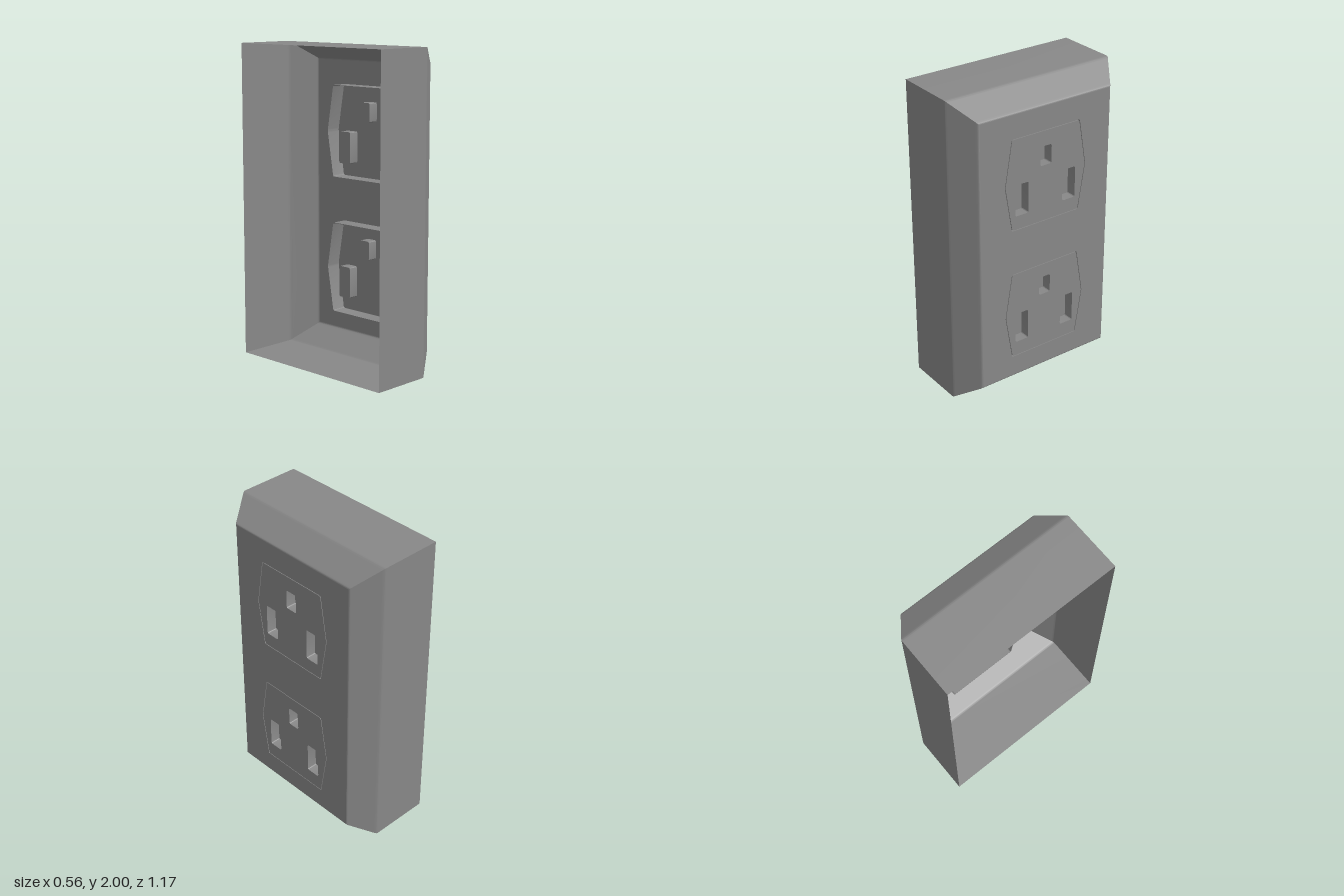
import * as THREE from 'three';
import { toCreasedNormals } from 'three/addons/utils/BufferGeometryUtils.js';

const material = new THREE.MeshStandardMaterial({ color: 0x888888, side: THREE.DoubleSide });
const FACE = 0.282; // x of the front surface
const SKIRT = FACE - 0.1; // rear end of the socket skirts
const FLOOR = FACE - 0.068; // bottom of the slots

// Polygon with every corner softened; returns a counter-clockwise point list.
function softPolygon(corners, r, steps = 3) {
  const pts = [];
  corners.forEach((c, i) => {
    const n = corners.length;
    const p = new THREE.Vector2(...c);
    const toward = (q) => p.clone().add(new THREE.Vector2(...q).sub(p).setLength(r));
    const a = toward(corners[(i + n - 1) % n]);
    const b = toward(corners[(i + 1) % n]);
    pts.push(...new THREE.QuadraticBezierCurve(a, p, b).getPoints(steps));
  });
  return pts;
}

const rectCorners = (u0, u1, v0, v1) => [[u0, v0], [u1, v0], [u1, v1], [u0, v1]];

// Six-sided socket outline, shrunk evenly by gap.
function socketOutline(cy, gap = 0) {
  const h = 0.296 - gap, w = 0.248 - gap, m = 0.297 - gap;
  return softPolygon([[-w, cy - h], [w, cy - h], [m, cy], [w, cy + h], [-w, cy + h], [-m, cy]], 0.012);
}

// Skin between outlines placed at successive x positions: [[x, points], ...]
function loft(rings) {
  const n = rings[0][1].length, pos = [], idx = [];
  for (const [x, pts] of rings) for (const p of pts) pos.push(x, p.y, -p.x);
  for (let k = 0; k < rings.length - 1; k++) {
    for (let i = 0; i < n; i++) {
      const a = k * n + i, b = k * n + (i + 1) % n;
      idx.push(a, b, b + n, a, b + n, a + n);
    }
  }
  const g = new THREE.BufferGeometry();
  g.setAttribute('position', new THREE.Float32BufferAttribute(pos, 3));
  g.setIndex(idx);
  return toCreasedNormals(g, 0.5);
}

// Flat panel facing +x, with holes.
function panel(x, outline, holes = []) {
  const shape = new THREE.Shape(outline);
  shape.holes = holes.map((h) => new THREE.Path(h));
  return new THREE.ShapeGeometry(shape).rotateY(Math.PI / 2).translate(x, 0, 0);
}

function add(parent, name, geometry) {
  const mesh = new THREE.Mesh(geometry, material);
  mesh.name = name;
  parent.add(mesh);
}

// Socket insert: face with three slots, rear skirt and blind pockets.
function createSocket(cy, pinY) {
  const socket = new THREE.Group();
  socket.name = 'socket';
  const slots = [
    rectCorners(-0.041, 0.041, pinY + 0.077, pinY + 0.2),
    rectCorners(-0.221, -0.126, pinY - 0.199, pinY + 0.004),
    rectCorners(0.126, 0.221, pinY - 0.199, pinY + 0.004),
  ].map((corners) => softPolygon(corners, 0.012));
  const opening = socketOutline(cy), inner = socketOutline(cy, 0.004);
  add(socket, 'socketFace', panel(FACE, inner, slots));
  // Narrow groove around the face, closed at the rear of the skirt
  add(socket, 'socketSkirt', loft([[FACE, opening], [SKIRT, opening], [SKIRT, inner], [FACE, inner]]));
  slots.forEach((s) => {
    add(socket, 'slotWall', loft([[FACE, s], [FLOOR, s]]));
    add(socket, 'slotFloor', panel(FLOOR, s));
  });
  return socket;
}

export function createModel() {
  const model = new THREE.Group();
  model.name = 'wallSocket';

  // Housing: open at the back, bevelled toward the front with softened bends
  const ring = (d) => rectCorners(-0.587 + d, 0.587 - d, d, 2 - d).map((c) => new THREE.Vector2(...c));
  const bend = (...pts) => new THREE.QuadraticBezierCurve(
    ...pts.map((p) => new THREE.Vector2(...p))).getPoints(4);
  const profile = [
    new THREE.Vector2(-FACE, 0),
    new THREE.Vector2(0.1, 0),
    ...bend([0.108, 0], [0.118, 0], [0.126, 0.0055]),
    new THREE.Vector2(0.132, 0.0096),
    new THREE.Vector2(0.266, 0.101),
    ...bend([0.274, 0.1065], [FACE, 0.112], [FACE, 0.119]),
  ];
  add(model, 'housing', loft(profile.map((p) => [p.x, ring(p.y)])));

  // Front plate with two openings, each holding a socket
  const sockets = [[1.436, 1.431], [0.548, 0.551]];
  add(model, 'frontPlate', panel(FACE, ring(0.119), sockets.map(([cy]) => socketOutline(cy))));
  sockets.forEach(([cy, pinY]) => model.add(createSocket(cy, pinY)));
  return model;
}
